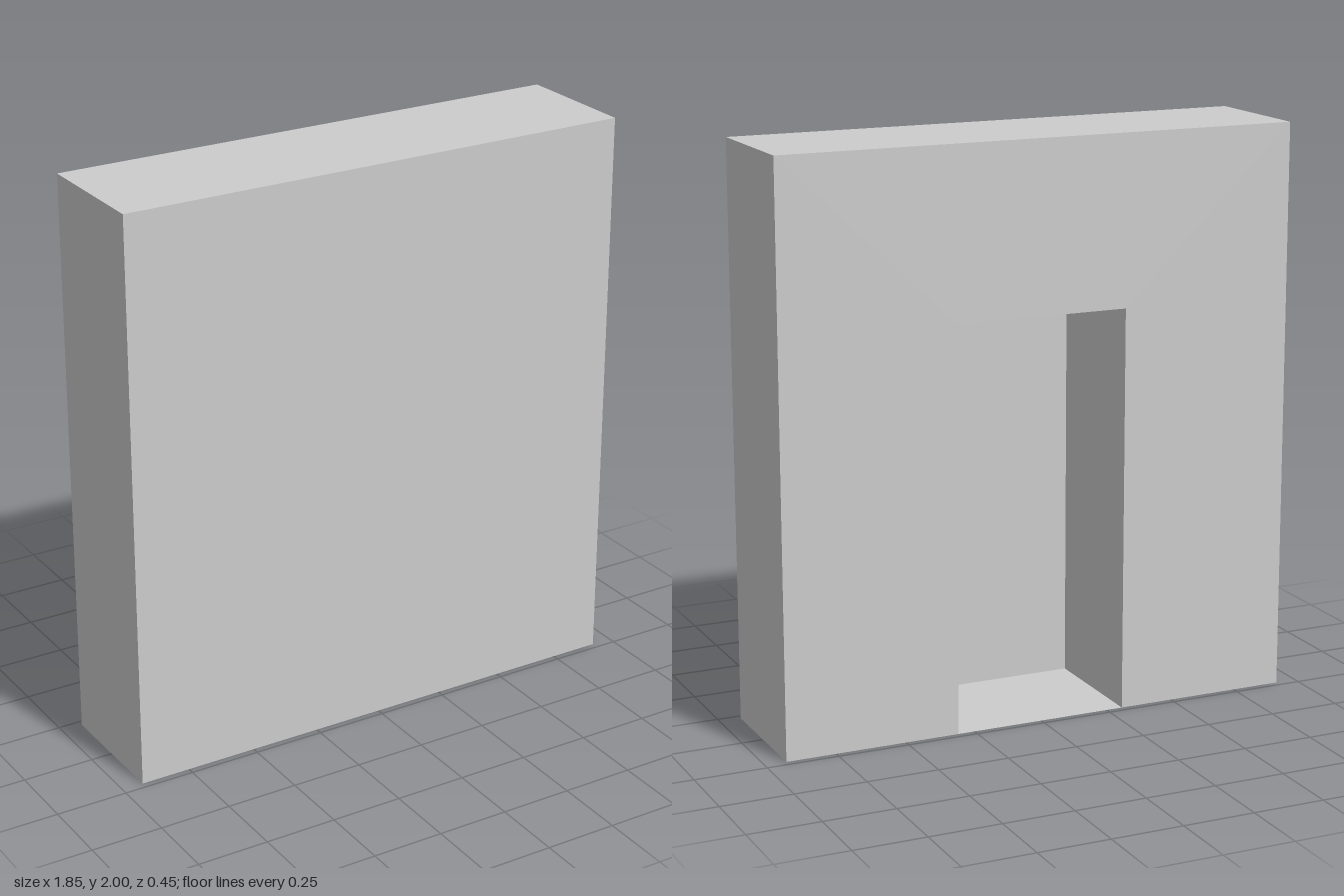
import * as THREE from 'three';

const W = 0.925, H = 2, D = 0.452;      // half width, height, depth of the wall
const OW = W / 3, OH = 1.41;            // half width and height of the doorway

export function createModel() {
  const group = new THREE.Group();
  group.name = 'wallWithDoorway';
  const wallGrey = new THREE.MeshStandardMaterial({ color: 0xcccccc, side: THREE.DoubleSide });
  wallGrey.name = 'wallGrey';

  const add = (name, geometry) => {
    const mesh = new THREE.Mesh(geometry, wallGrey);
    mesh.name = name;
    group.add(mesh);
    return mesh;
  };

  // Wall block with the doorway cut out of its lower middle
  const outline = new THREE.Shape([
    [-W, 0], [-OW, 0], [-OW, OH], [OW, OH], [OW, 0], [W, 0], [W, H], [-W, H],
  ].map(([x, y]) => new THREE.Vector2(x, y)));
  const block = new THREE.ExtrudeGeometry(outline, { depth: D, bevelEnabled: false });
  add('wall', block.translate(0, 0, -D / 2));

  // Paper-thin skin closing the doorway at the front
  add('doorwayFront', new THREE.PlaneGeometry(2 * OW, OH)).position.set(0, OH / 2, D / 2);

  // Paper-thin threshold closing the doorway at the ground
  add('threshold', new THREE.PlaneGeometry(2 * OW, D).rotateX(-Math.PI / 2));

  return group;
}
